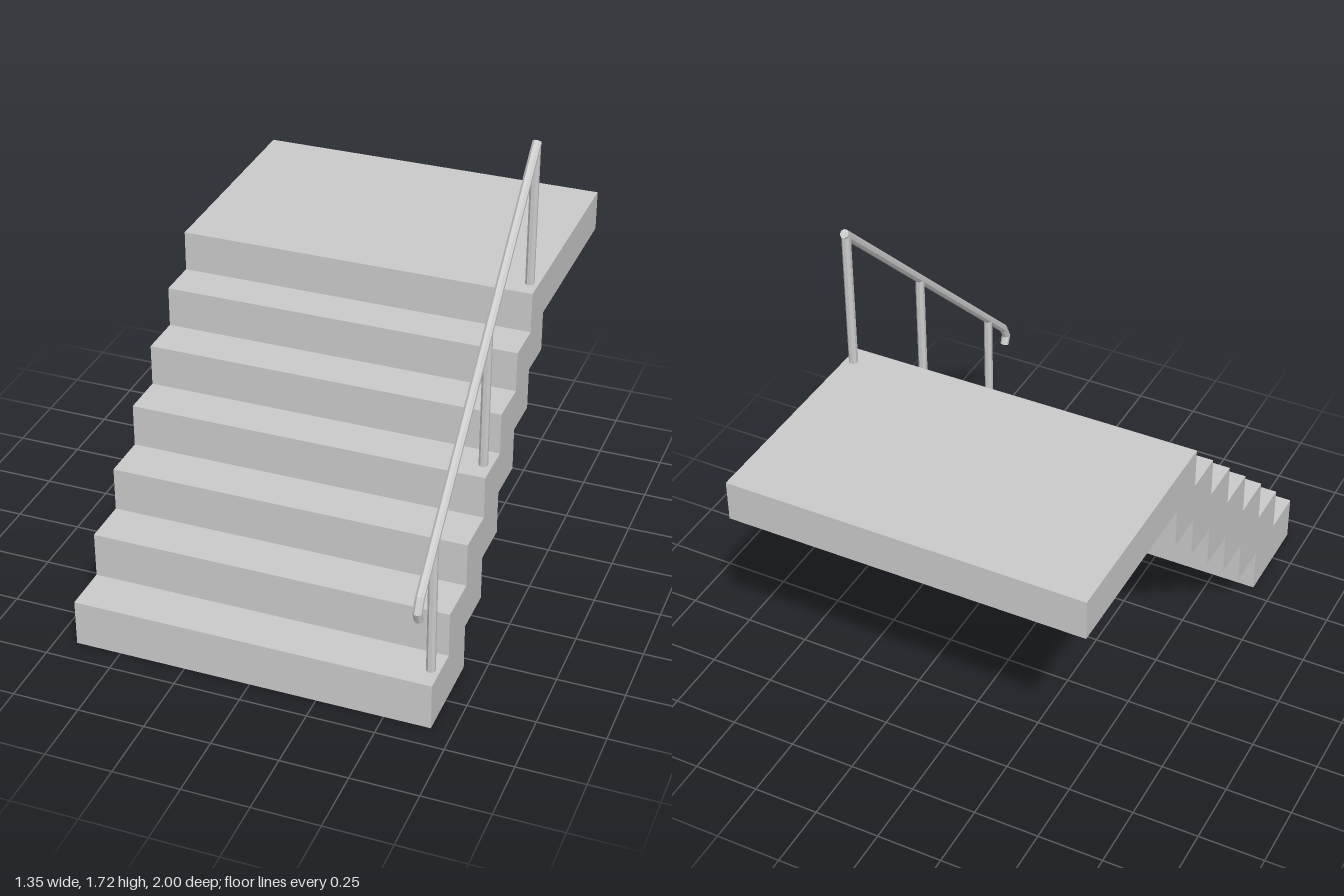
import * as THREE from 'three';

const material = new THREE.MeshStandardMaterial({ color: 0xcccccc, flatShading: true });
const WIDTH = 1.345, RAIL_X = 0.64, RADIUS = 0.017, SIDES = 8;

function addMesh(parent, name, geometry) {
  const mesh = new THREE.Mesh(geometry, material);
  mesh.name = name;
  parent.add(mesh);
  return mesh;
}

// Solid stair body: stepped side profile [z, y] extruded across the width
function stairGeometry() {
  const fronts = [0.91, 0.73, 0.55, 0.37, 0.2, 0.03, -0.13];
  const levels = [0, 0.18, 0.355, 0.525, 0.69, 0.85, 1.005, 1.16];
  const ends = [...fronts, -0.285];
  const pts = [];
  fronts.forEach((z, i) => pts.push([z, levels[i]], [z, levels[i + 1]]));
  pts.push([-1, levels[7]], [-1, levels[6]]);
  // Underside steps back down, each tread two risers deep
  for (let i = 5; i >= 0; i--) pts.push([ends[i + 2], levels[i + 1]], [ends[i + 2], levels[i]]);
  const shape = new THREE.Shape(pts.map(([z, y]) => new THREE.Vector2(z, y)));
  const geometry = new THREE.ExtrudeGeometry(shape, { depth: WIDTH, bevelEnabled: false });
  return geometry.translate(0, 0, -WIDTH / 2).rotateY(-Math.PI / 2);
}

// Round bar with mitred bends following [z, y] points, closed at both ends
function barGeometry(path) {
  const p = path.map(([z, y]) => new THREE.Vector2(z, y));
  const last = p.length - 1, verts = [], index = [];
  p.forEach((c, i) => {
    const a = p[Math.max(i - 1, 0)], b = p[Math.min(i + 1, last)];
    const din = (i ? c.clone().sub(a) : b.clone().sub(c)).normalize();
    const dout = (i < last ? b.clone().sub(c) : din.clone()).normalize();
    const t = din.clone().add(dout).normalize();
    const miter = RADIUS / t.dot(din);
    for (let k = 0; k < SIDES; k++) {
      const angle = (k + 0.5) / SIDES * Math.PI * 2;
      const s = Math.sin(angle) * miter;
      verts.push(Math.cos(angle) * RADIUS, c.y + t.x * s, c.x - t.y * s);
    }
  });
  for (let i = 0; i < last; i++) {
    for (let k = 0; k < SIDES; k++) {
      const a = i * SIDES + k, b = i * SIDES + (k + 1) % SIDES;
      index.push(a, b, b + SIDES, a, b + SIDES, a + SIDES);
    }
  }
  const e = last * SIDES;
  for (let k = 1; k < SIDES - 1; k++) index.push(0, k + 1, k, e, e + k, e + k + 1);
  const geometry = new THREE.BufferGeometry();
  geometry.setAttribute('position', new THREE.Float32BufferAttribute(verts, 3));
  geometry.setIndex(index);
  geometry.computeVertexNormals();
  return geometry;
}

export function createModel() {
  const model = new THREE.Group();
  model.name = 'staircase';
  addMesh(model, 'stepsAndLanding', stairGeometry());

  // Handrail on the left side, with a curled lower end
  const railing = new THREE.Group();
  railing.name = 'railing';
  railing.position.x = RAIL_X;
  model.add(railing);
  addMesh(railing, 'handrail',
    barGeometry([[0.967, 0.493], [0.982, 0.53], [0.958, 0.577], [-0.215, 1.709]]));

  // Posts: [z, bottom, top]
  [[0.825, 0.18, 0.705], [0.29, 0.69, 1.22], [-0.205, 1.16, 1.7]].forEach(([z, y0, y1], i) => {
    addMesh(railing, `post${i + 1}`, barGeometry([[z, y0], [z, y1]]));
  });
  return model;
}
